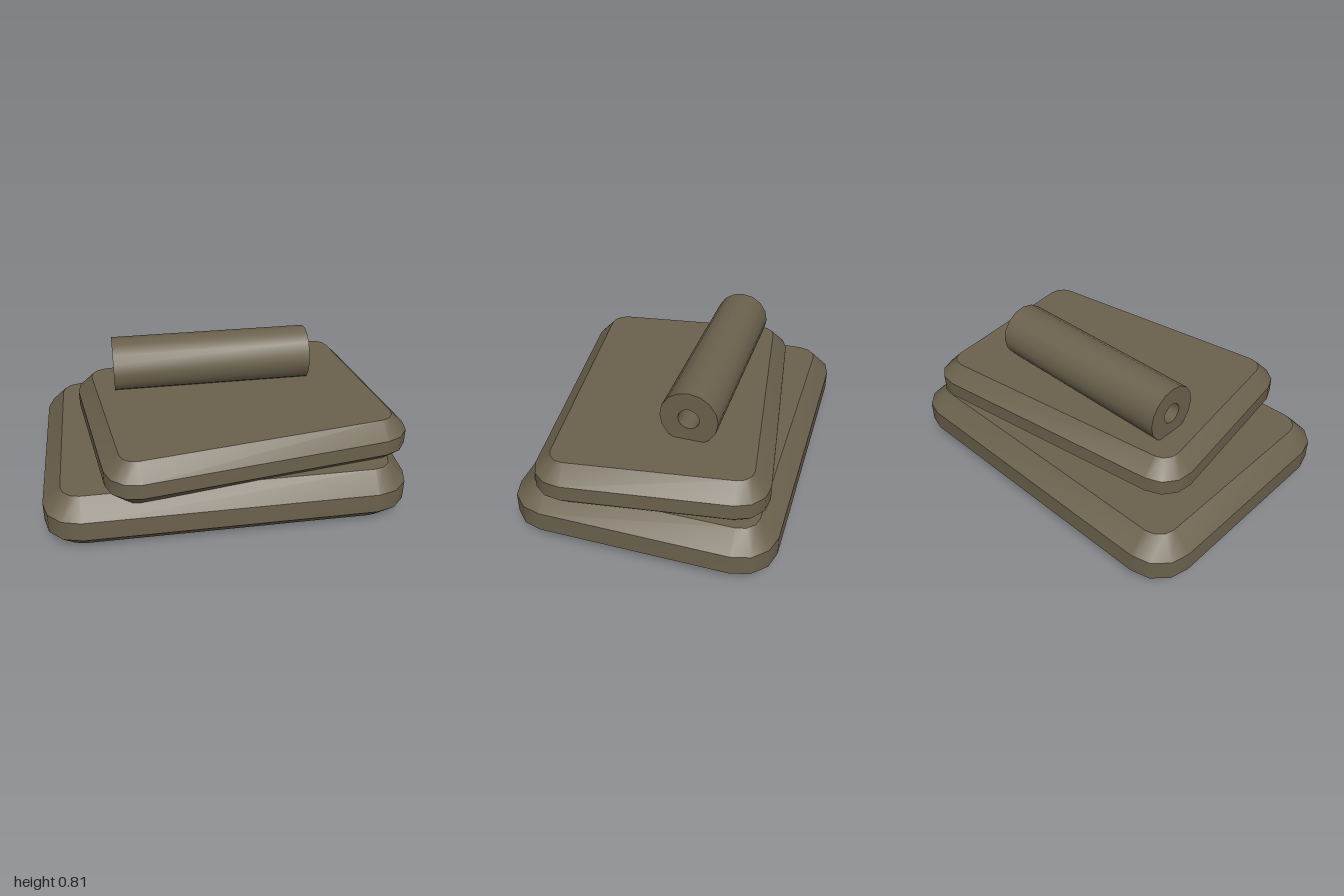
import * as THREE from 'three';
import { toCreasedNormals } from 'three/addons/utils/BufferGeometryUtils.js';

const CORNER_STEPS = 3;

// Rounded rectangle in x/z, running from +x towards +z
function outline(halfX, halfZ, radius) {
  const points = [];
  const signs = [[1, 1], [-1, 1], [-1, -1], [1, -1]];
  signs.forEach(([sx, sz], corner) => {
    for (let i = 0; i <= CORNER_STEPS; i++) {
      const a = (corner + i / CORNER_STEPS) * Math.PI / 2;
      points.push([
        sx * (halfX - radius) + radius * Math.cos(a),
        sz * (halfZ - radius) + radius * Math.sin(a),
      ]);
    }
  });
  return points;
}

// Slab with rounded corners and chamfered upper and lower rims
function slabGeometry(halfX, halfZ, radius, inset, heights) {
  const positions = [];
  const index = [];
  const n = 4 * (CORNER_STEPS + 1);
  heights.forEach((y, level) => {
    const d = level === 0 || level === heights.length - 1 ? inset : 0;
    for (const [x, z] of outline(halfX - d, halfZ - d, radius - d)) positions.push(x, y, z);
  });
  const last = heights.length - 1;
  const bottom = positions.length / 3;
  const top = bottom + 1;
  positions.push(0, heights[0], 0, 0, heights[last], 0);
  for (let i = 0; i < n; i++) {
    const j = (i + 1) % n;
    for (let level = 0; level < last; level++) {
      const a = level * n, b = a + n;
      index.push(a + i, b + i, a + j, a + j, b + i, b + j);
    }
    index.push(bottom, i, j, top, last * n + j, last * n + i);
  }
  const geometry = new THREE.BufferGeometry();
  geometry.setAttribute('position', new THREE.Float32BufferAttribute(positions, 3));
  geometry.setIndex(index);
  return toCreasedNormals(geometry, 0.65);
}

// Hollow tube lying along x
function tubeGeometry(outer, inner, halfLength) {
  const profile = [
    [inner, -halfLength], [outer, -halfLength],
    [outer, halfLength], [inner, halfLength], [inner, -halfLength],
  ].map(([r, y]) => new THREE.Vector2(r, y));
  const geometry = new THREE.LatheGeometry(profile, 16);
  geometry.rotateZ(Math.PI / 2);
  return toCreasedNormals(geometry, 0.65);
}

export function createModel() {
  const group = new THREE.Group();
  const stone = new THREE.MeshStandardMaterial({ color: 0x6b614d });
  stone.name = 'brown stone';

  const add = (name, geometry, x, y, z, turn = 0) => {
    const mesh = new THREE.Mesh(geometry, stone);
    mesh.name = name;
    mesh.position.set(x, y, z);
    mesh.rotation.y = turn;
    group.add(mesh);
  };

  add('lowerSlab', slabGeometry(0.987, 0.705, 0.2, 0.1, [0, 0.1, 0.212, 0.311]), -0.012, 0, -0.02);
  add('upperSlab', slabGeometry(0.84, 0.599, 0.17, 0.085, [0.275, 0.36, 0.446, 0.531]), 0.102, 0, 0.035, 0.143);
  add('topTube', tubeGeometry(0.154, 0.057, 0.563), -0.013, 0.658, -0.187);

  return group;
}
